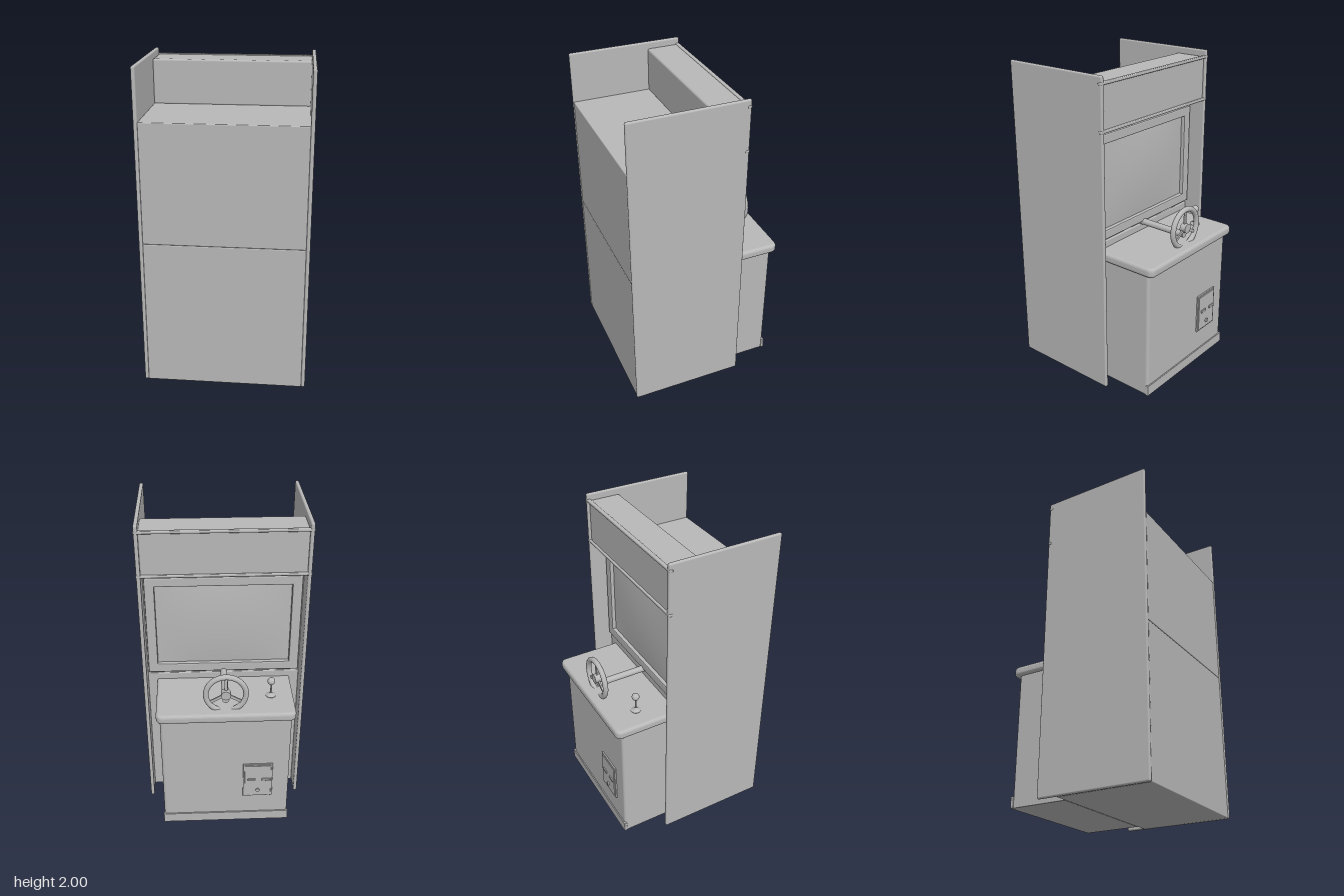
import * as THREE from 'three';
import { RoundedBoxGeometry } from 'three/addons/geometries/RoundedBoxGeometry.js';

export function createModel() {
  const root = new THREE.Group();
  root.name = 'drivingArcadeCabinet';
  const grey = new THREE.MeshStandardMaterial({ color: 0xb8b8b8 });
  grey.name = 'plainGrey';

  const add = (name, geometry, x = 0, y = 0, z = 0, parent = root) => {
    const mesh = new THREE.Mesh(geometry, grey);
    mesh.name = name;
    mesh.position.set(x, y, z);
    parent.add(mesh);
    return mesh;
  };
  // rounded box given by its limits on each axis
  const block = (name, [x0, x1], [y0, y1], [z0, z1], r) =>
    add(name, new RoundedBoxGeometry(x1 - x0, y1 - y0, z1 - z0, 3, r),
      (x0 + x1) / 2, (y0 + y1) / 2, (z0 + z1) / 2);
  const rectangle = (path, w, h) => {
    path.moveTo(-w / 2, -h / 2);
    path.lineTo(w / 2, -h / 2);
    path.lineTo(w / 2, h / 2);
    path.lineTo(-w / 2, h / 2);
    path.closePath();
    return path;
  };

  // side panels
  for (const s of [-1, 1]) {
    const panel = block('sidePanel', [-0.012, 0.012], [0, 2], [-0.212, 0.51], 0.01);
    panel.position.x = s * 0.498;
  }

  // cabinet body and marquee
  block('lowerBody', [-0.487, 0.487], [0, 0.94], [-0.09, 0.507], 0.006);
  block('upperBody', [-0.487, 0.487], [0.94, 1.685], [-0.08, 0.507], 0.006);
  block('marquee', [-0.487, 0.487], [1.68, 1.96], [-0.2, 0.005], 0.012);
  for (const y of [1.685, 1.957]) {
    block('marqueeTrim', [-0.513, 0.513], [y - 0.009, y + 0.009], [-0.212, -0.187], 0.006);
  }

  // screen frame facing the player at -z
  const frameShape = rectangle(new THREE.Shape(), 0.94, 0.65);
  frameShape.holes.push(rectangle(new THREE.Path(), 0.85, 0.56));
  const frameGeometry = new THREE.ExtrudeGeometry(frameShape, {
    depth: 0.025, bevelEnabled: true, bevelSize: 0.008, bevelThickness: 0.008, bevelSegments: 2,
  });
  add('screenFrame', frameGeometry, 0, 1.295, -0.078).rotation.y = Math.PI;

  // gently bulging glass
  const glass = new THREE.PlaneGeometry(0.87, 0.58, 20, 14);
  const p = glass.attributes.position;
  for (let i = 0; i < p.count; i++) {
    const u = p.getX(i) / 0.435, v = p.getY(i) / 0.29;
    p.setZ(i, 0.018 * (1 - u * u) * (1 - v * v));
  }
  glass.computeVertexNormals();
  add('screenGlass', glass, 0, 1.295, -0.084).rotation.y = Math.PI;

  // control pedestal
  block('pedestal', [-0.407, 0.407], [0, 0.85], [-0.467, -0.09], 0.02);
  block('pedestalFoot', [-0.407, 0.407], [0, 0.06], [-0.462, -0.09], 0.002);
  block('kickPlate', [-0.412, 0.412], [0, 0.07], [-0.475, -0.455], 0.003);

  // control deck with rounded front corners
  const deckShape = new THREE.Shape();
  const w = 0.41, f = 0.49, c = 0.025;
  deckShape.moveTo(-w, 0.1);
  deckShape.lineTo(-w, f - c);
  deckShape.quadraticCurveTo(-w, f, -w + c, f);
  deckShape.lineTo(w - c, f);
  deckShape.quadraticCurveTo(w, f, w, f - c);
  deckShape.lineTo(w, 0.1);
  deckShape.closePath();
  const deckGeometry = new THREE.ExtrudeGeometry(deckShape, {
    depth: 0.02, bevelEnabled: true, bevelSize: 0.018, bevelThickness: 0.02, bevelSegments: 4, curveSegments: 6,
  });
  add('controlDeck', deckGeometry, 0, 0.86, 0).rotation.x = -Math.PI / 2;

  // steering wheel
  const wheel = new THREE.Group();
  wheel.name = 'steeringWheel';
  wheel.position.set(0, 1.003, -0.43);
  root.add(wheel);
  add('wheelRim', new THREE.TorusGeometry(0.122, 0.017, 14, 48), 0, 0, 0, wheel);
  add('wheelHub', new THREE.CylinderGeometry(0.03, 0.03, 0.04, 24), 0, 0, -0.002, wheel).rotation.x = Math.PI / 2;
  for (let i = 0; i < 3; i++) {
    const a = (i * 2 * Math.PI) / 3;
    const spoke = add('wheelSpoke', new THREE.BoxGeometry(0.018, 0.1, 0.01),
      -Math.sin(a) * 0.07, Math.cos(a) * 0.07, 0, wheel);
    spoke.rotation.z = a;
  }
  add('steeringColumn', new THREE.CylinderGeometry(0.021, 0.021, 0.345, 24), 0, 0.957, -0.255).rotation.x = Math.PI / 2;

  // gear stick: base, rod and ball
  const stickProfile = [[0, 0], [0.032, 0], [0.032, 0.006], [0.017, 0.009], [0.009, 0.018],
    [0.005, 0.022], [0.005, 0.1], [0, 0.1]].map(([r, y]) => new THREE.Vector2(r, y));
  add('gearStick', new THREE.LatheGeometry(stickProfile, 24), -0.287, 0.899, -0.308);
  add('gearKnob', new THREE.SphereGeometry(0.024, 24, 16), -0.287, 1.006, -0.308);

  // coin door
  block('coinDoorFrame', [-0.3, -0.11], [0.215, 0.48], [-0.477, -0.46], 0.003);
  block('coinDoor', [-0.29, -0.12], [0.225, 0.47], [-0.482, -0.465], 0.003);
  for (const x of [-0.255, -0.165]) {
    block('coinSlot', [x - 0.025, x + 0.025], [0.35, 0.368], [-0.49, -0.475], 0.004);
  }
  add('coinDoorLock', new THREE.CylinderGeometry(0.013, 0.013, 0.015, 20), -0.205, 0.27, -0.483).rotation.x = Math.PI / 2;

  return root;
}
